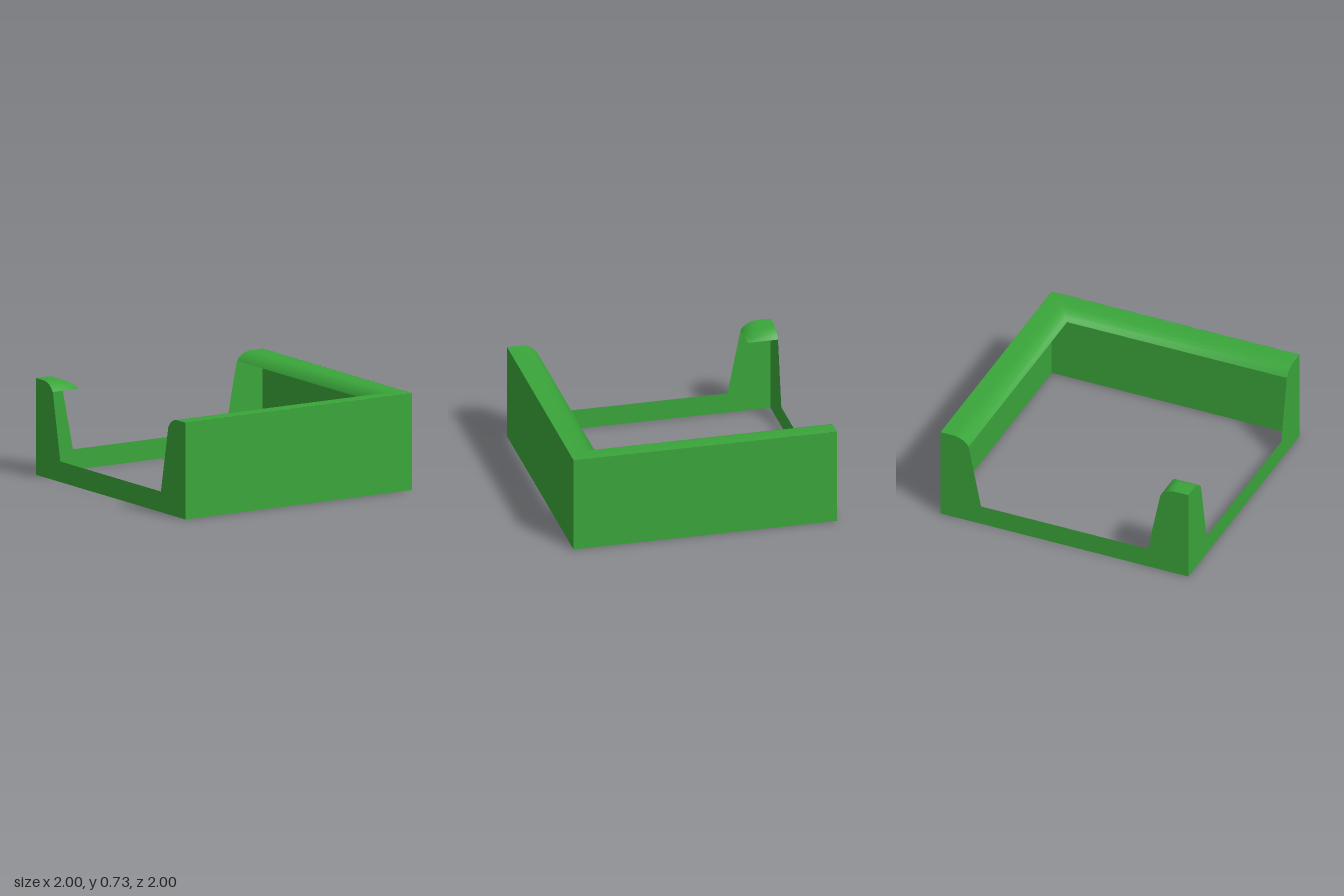
import * as THREE from 'three';

const H = 0.727; // full height
// rounded top edge: [distance inward from the outer face, height]
const EDGE = [[0.001, H], [0.115, H], [0.15, 0.72], [0.18, 0.706], [0.207, 0.685], [0.227, 0.66]];
const SILL = 0.155, FOOT = 0.327; // low strip height, foot of the slanted cut

export function createModel() {
  const green = new THREE.MeshStandardMaterial({ color: 0x3aa53a, side: THREE.DoubleSide });
  const group = new THREE.Group();
  const add = (name, geometry) => {
    const mesh = new THREE.Mesh(geometry, green);
    mesh.name = name;
    group.add(mesh);
    return mesh;
  };

  // solid outer walls
  add('frontWall', new THREE.PlaneGeometry(2, H)).position.set(0, H / 2, 1);
  const side = add('rightWall', new THREE.PlaneGeometry(2, H));
  side.position.set(1, H / 2, 0);
  side.rotation.y = Math.PI / 2;

  // walls with a wide notch between two rounded posts
  const right = [[0, H], ...EDGE.slice(1), [FOOT, SILL]].map(([d, y]) => new THREE.Vector2(1 - d, y));
  const left = right.map((p) => new THREE.Vector2(-p.x, p.y)).reverse();
  const notched = new THREE.Shape([
    new THREE.Vector2(-1, 0), new THREE.Vector2(1, 0), ...right, ...left,
  ]);
  const back = add('backNotchedWall', new THREE.ShapeGeometry(notched));
  back.position.z = -1;
  back.rotation.y = Math.PI;
  const open = add('leftNotchedWall', new THREE.ShapeGeometry(notched));
  open.position.x = -1;
  open.rotation.y = -Math.PI / 2;

  // rounded cap swept along two sides that meet in a mitre at (c, c)
  const cap = (rows) => {
    const pos = [], index = [];
    rows.forEach(([c, y], i) => {
      pos.push(-1, y, c, c, y, c, c, y, -1);
      if (i === rows.length - 1) return;
      for (let j = 0; j < 2; j++) {
        const a = i * 3 + j;
        index.push(a, a + 1, a + 4, a, a + 4, a + 3);
      }
    });
    const g = new THREE.BufferGeometry();
    g.setAttribute('position', new THREE.Float32BufferAttribute(pos, 3));
    g.setIndex(index);
    g.computeVertexNormals();
    return g;
  };
  add('wallCap', cap(EDGE.map(([d, y]) => [1 - d, y])));
  add('cornerPostCap', cap(EDGE.map(([d, y]) => [d - 1, y]).reverse()));

  return group;
}
